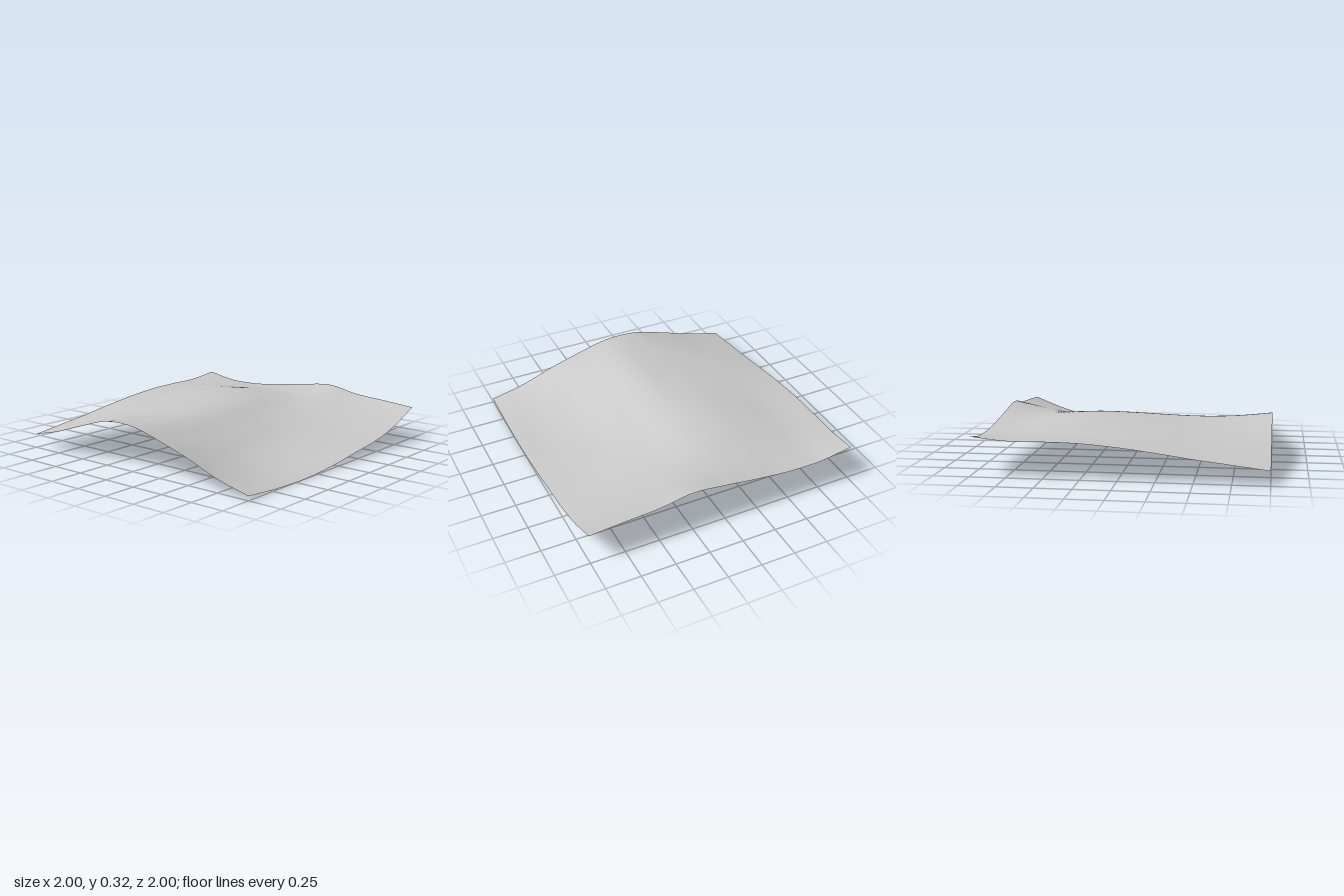
import * as THREE from 'three';

// Control heights on an even grid: rows run back to front, columns run from -x to +x
const HEIGHTS = [
  [0.10, 0.13, 0.16, 0.195, 0.225, 0.245, 0.25, 0.25, 0.275],
  [0.16, 0.185, 0.21, 0.235, 0.25, 0.255, 0.255, 0.24, 0.235],
  [0.24, 0.245, 0.25, 0.27, 0.285, 0.295, 0.285, 0.255, 0.235],
  [0.31, 0.285, 0.28, 0.295, 0.31, 0.32, 0.305, 0.27, 0.26],
  [0.315, 0.29, 0.28, 0.285, 0.295, 0.30, 0.29, 0.275, 0.295],
  [0.255, 0.21, 0.185, 0.185, 0.20, 0.215, 0.235, 0.265, 0.32],
  [0.18, 0.12, 0.085, 0.085, 0.105, 0.14, 0.18, 0.23, 0.28],
  [0.09, 0.05, 0.025, 0.03, 0.055, 0.085, 0.125, 0.19, 0.262],
  [0.03, 0.01, 0.0, 0.005, 0.025, 0.055, 0.085, 0.145, 0.242],
];

// Smooth curve through evenly spaced values, t from 0 to 1
function spline(values, t) {
  const last = values.length - 1;
  const i = Math.min(Math.floor(t * last), last - 1);
  const f = t * last - i;
  const b = values[i], c = values[i + 1];
  const a = i > 0 ? values[i - 1] : 2 * b - c;
  const d = i + 2 <= last ? values[i + 2] : 2 * c - b;
  return b + 0.5 * f * (c - a + f * (2 * a - 5 * b + 4 * c - d + f * (3 * (b - c) + d - a)));
}

function heightAt(x, z) {
  const u = THREE.MathUtils.clamp((x + 1) / 2, 0, 1);
  const v = THREE.MathUtils.clamp((z + 1) / 2, 0, 1);
  return Math.max(0, spline(HEIGHTS.map((row) => spline(row, u)), v));
}

export function createModel() {
  const group = new THREE.Group();
  group.name = 'terrain';

  const grey = new THREE.MeshStandardMaterial({ color: 0xc8c8c8, side: THREE.DoubleSide });
  grey.name = 'light grey';

  // Thin rolling ground sheet, lifted from a flat grid
  const geometry = new THREE.PlaneGeometry(2, 2, 100, 100).rotateX(-Math.PI / 2);
  const position = geometry.attributes.position;
  for (let i = 0; i < position.count; i++) {
    position.setY(i, heightAt(position.getX(i), position.getZ(i)));
  }
  geometry.computeVertexNormals();

  const ground = new THREE.Mesh(geometry, grey);
  ground.name = 'groundSurface';
  group.add(ground);
  return group;
}
